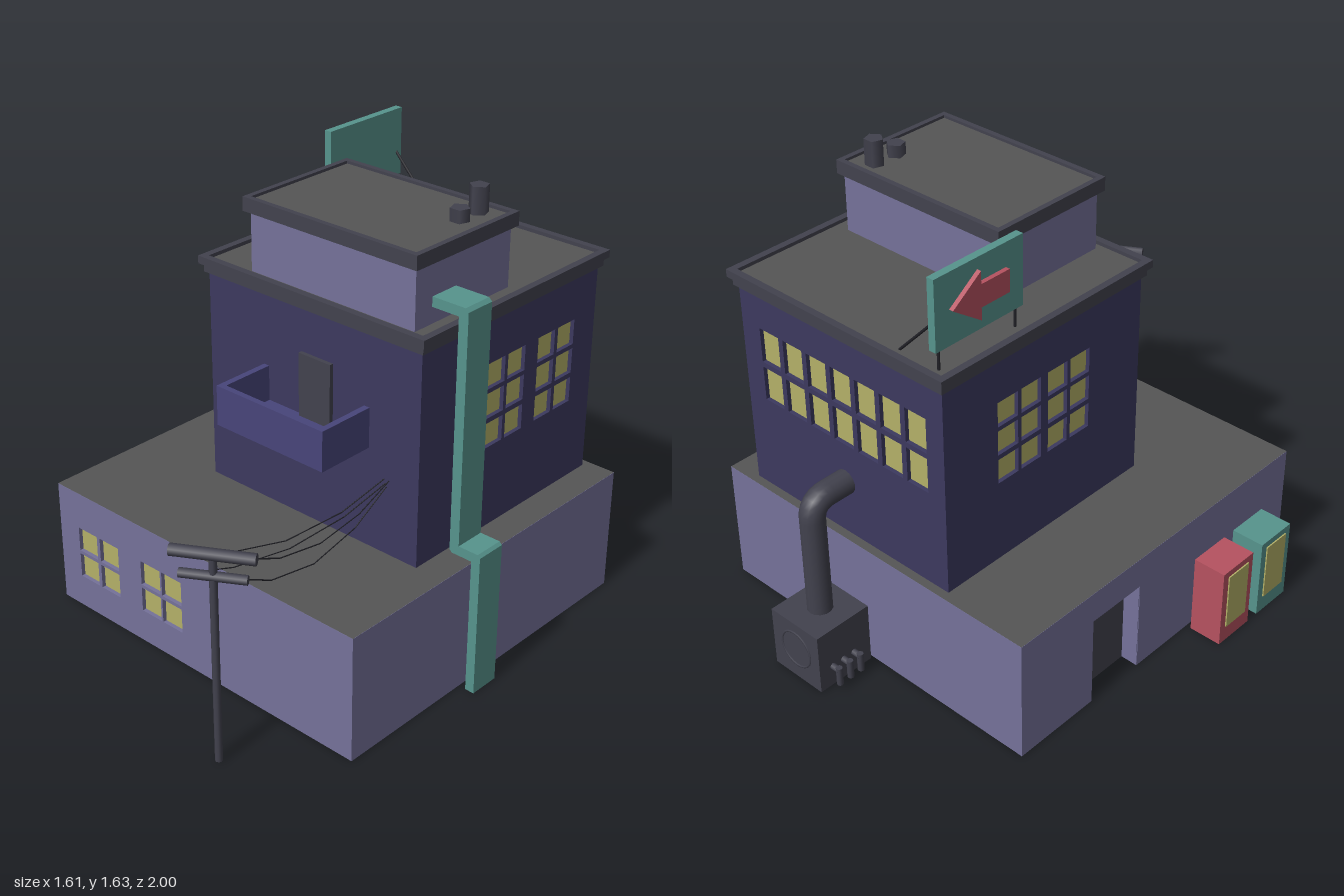
import * as THREE from 'three';

const mat = (color, opts = {}) => new THREE.MeshStandardMaterial({ color, side: THREE.DoubleSide, ...opts });
const M = {
  pale: mat(0x75729a), navy: mat(0x3c395f), balcony: mat(0x48457a), dark: mat(0x42424e),
  roof: mat(0x565656), teal: mat(0x57948d), red: mat(0xb65260), glass: mat(0xb4b168), wire: mat(0x222228),
};
const V = (x, y, z) => new THREE.Vector3(x, y, z);

export function createModel() {
  const root = new THREE.Group();
  const add = (name, geo, material, parent = root) => {
    const m = new THREE.Mesh(geo, material);
    m.name = name;
    parent.add(m);
    return m;
  };
  // box given by its min and max on each axis
  const box = (name, x0, x1, y0, y1, z0, z1, material) => {
    const m = add(name, new THREE.BoxGeometry(x1 - x0, y1 - y0, z1 - z0), material);
    m.position.set((x0 + x1) / 2, (y0 + y1) / 2, (z0 + z1) / 2);
    return m;
  };
  // round bar between two points
  const bar = (name, a, b, r, material, sides = 8) => {
    const m = add(name, new THREE.CylinderGeometry(r, r, a.distanceTo(b), sides), material);
    m.position.copy(a).add(b).multiplyScalar(0.5);
    m.quaternion.setFromUnitVectors(V(0, 1, 0), b.clone().sub(a).normalize());
    return m;
  };
  const poly = (pts) => new THREE.Shape(pts.map(([x, y]) => new THREE.Vector2(x, y)));
  const rect = (x0, x1, y0, y1) => [[x0, y0], [x1, y0], [x1, y1], [x0, y1]];
  const extrude = (shape, depth) => new THREE.ExtrudeGeometry(shape, { depth, bevelEnabled: false });
  // flat roof sheet
  const roof = (name, x0, x1, z0, z1, y) => {
    const g = new THREE.PlaneGeometry(x1 - x0, z1 - z0).rotateX(-Math.PI / 2);
    add(name, g, M.roof).position.set((x0 + x1) / 2, y, (z0 + z1) / 2);
  };
  // rectangular ring around a roof
  const rim = (name, x0, x1, z0, z1, t, y, h) => {
    const s = poly(rect(x0, x1, -z1, -z0));
    s.holes.push(poly(rect(x0 + t, x1 - t, -z1 + t, -z0 - t)));
    add(name, extrude(s, h).rotateX(-Math.PI / 2), M.dark).position.y = y;
  };

  // wall with recessed panes; u runs along the wall from its middle, v is height
  const T = 0.016;
  const wall = (name, width, y0, y1, panes, material, notch) => {
    const g = new THREE.Group();
    g.name = name;
    const w = width / 2;
    const outline = [[-w, y0]];
    if (notch) outline.push([notch[0], y0], [notch[0], notch[2]], [notch[1], notch[2]], [notch[1], y0]);
    outline.push([w, y0], [w, y1], [-w, y1]);
    const s = poly(outline);
    for (const p of panes) {
      s.holes.push(poly(rect(...p)));
      const pane = add('windowPane', new THREE.PlaneGeometry(p[1] - p[0], p[3] - p[2]), M.glass, g);
      pane.position.set((p[0] + p[1]) / 2, (p[2] + p[3]) / 2, 0.001);
    }
    add('wallPanel', extrude(s, T), material, g);
    root.add(g);
    return g;
  };
  // four walls around a footprint: front, right (+x), back, left (-x)
  const storey = (name, x0, x1, z0, z1, y0, y1, material, panes, leftNotch) => {
    const cx = (x0 + x1) / 2, cz = (z0 + z1) / 2, w = x1 - x0, d = z1 - z0;
    const sides = [[0, w, d], [1, d, w], [2, w, d], [3, d, w]];
    sides.forEach(([k, len, across]) => {
      const g = wall(name + 'Wall', len, y0, y1, panes[k] || [], material, k === 3 ? leftNotch : null);
      const a = (k * Math.PI) / 2, r = across / 2 - T;
      g.rotation.y = a;
      g.position.set(cx + Math.sin(a) * r, 0, cz + Math.cos(a) * r);
    });
  };
  const grid = (us, vs, w, h) => us.flatMap((u) => vs.map((v) => [u, u + w, v, v + h]));

  // ground floor, open below, with a door alcove on its left wall
  const G = { x0: -0.655, x1: 0.737, z0: -0.76, z1: 0.635 };
  const gx = (G.x0 + G.x1) / 2, gz = (G.z0 + G.z1) / 2;
  const door = { z0: -0.417, z1: -0.18, h: 0.35 };
  storey('groundFloor', G.x0, G.x1, G.z0, G.z1, 0, 0.467, M.pale,
    [grid([-0.557, -0.446, -0.234, -0.13].map((x) => x - gx), [0.125, 0.232], 0.096, 0.094)],
    [door.z0 - gz, door.z1 - gz, door.h]);
  roof('groundRoof', G.x0, G.x1, G.z0, G.z1, 0.468);
  const ax = G.x0 + 0.07;
  for (const z of [door.z0, door.z1]) box('alcoveSide', G.x0 + 0.002, ax, 0, door.h, z - 0.002, z + 0.002, M.pale);
  box('alcoveTop', G.x0 + 0.002, ax, door.h - 0.002, door.h + 0.002, door.z0, door.z1, M.pale);
  box('groundDoor', ax - 0.004, ax, 0, door.h, door.z0, door.z1, M.dark);

  // second floor
  const S = { x0: -0.308, x1: 0.623, z0: -0.728, z1: 0.2 };
  const sz = (S.z0 + S.z1) / 2, sx = (S.x0 + S.x1) / 2;
  const rows = [0.772, 0.882, 0.99];
  storey('upperFloor', S.x0, S.x1, S.z0, S.z1, 0.467, 1.245, M.navy, [
    [],
    grid([-0.228, -0.336, -0.5, -0.61].map((z) => sz - z - 0.093), rows, 0.093, 0.092),
    grid([0, 1, 2, 3, 4, 5, 6].map((i) => sx - 0.537 + i * 0.113), [0.83, 0.98], 0.092, 0.13),
    grid([-0.49, -0.382, -0.256, -0.148].map((z) => z - sz), rows, 0.093, 0.092),
  ]);
  rim('lowerCornice', S.x0 - 0.013, S.x1 + 0.013, S.z0 - 0.013, S.z1 + 0.013, 0.03, 1.242, 0.03);
  rim('upperCornice', S.x0 - 0.026, S.x1 + 0.026, S.z0 - 0.026, S.z1 + 0.026, 0.026, 1.272, 0.028);
  roof('upperRoof', S.x0 - 0.01, S.x1 + 0.01, S.z0 - 0.01, S.z1 + 0.01, 1.287);

  // rooftop room with chimneys
  storey('roofRoom', -0.13, 0.57, -0.292, 0.176, 1.287, 1.505, M.pale, []);
  rim('roomCornice', -0.147, 0.588, -0.308, 0.196, 0.02, 1.5, 0.05);
  roof('roomRoof', -0.135, 0.576, -0.296, 0.184, 1.54);
  bar('tallChimney', V(0.485, 1.53, -0.23), V(0.485, 1.635, -0.23), 0.034, M.dark, 5);
  bar('shortChimney', V(0.485, 1.53, -0.135), V(0.485, 1.585, -0.135), 0.034, M.dark, 5).rotation.y = Math.PI;

  // balcony: U-shaped parapet, floor and door
  const u = poly([[-0.056, -0.2], [-0.056, -0.422], [0.413, -0.422], [0.413, -0.2],
    [0.39, -0.2], [0.39, -0.4], [-0.033, -0.4], [-0.033, -0.2]]);
  add('balconyParapet', extrude(u, 0.145).rotateX(-Math.PI / 2), M.balcony).position.y = 0.835;
  box('balconyFloor', -0.035, 0.392, 0.836, 0.852, 0.198, 0.402, M.balcony);
  box('balconyDoor', 0.117, 0.255, 0.85, 1.083, 0.19, 0.215, M.dark);

  // square duct stepping down the right side
  const duct = poly([[0.56, 1.38], [0.7, 1.38], [0.712, 1.368], [0.712, 0.54], [0.79, 0.54], [0.8, 0.53], [0.8, 0],
    [0.765, 0], [0.765, 0.505], [0.685, 0.505], [0.675, 0.515], [0.675, 1.345], [0.56, 1.345]]);
  add('sideDuct', extrude(duct, 0.115), M.teal).position.z = -0.02;

  // roof sign with arrow, posts and braces
  box('signBoard', -0.28, -0.252, 1.36, 1.61, -0.72, -0.342, M.teal);
  const arrow = poly([[-0.66, 1.485], [-0.54, 1.57], [-0.54, 1.525], [-0.417, 1.525],
    [-0.417, 1.445], [-0.54, 1.445], [-0.54, 1.4]]);
  const arrowMesh = add('signArrow', extrude(arrow, 0.018), M.red);
  arrowMesh.rotation.y = -Math.PI / 2;
  arrowMesh.position.x = -0.278;
  for (const z of [-0.364, -0.696]) {
    bar('signPost', V(-0.266, 1.285, z), V(-0.266, 1.45, z), 0.005, M.wire, 6);
    bar('signBrace', V(-0.255, 1.45, z), V(-0.1, 1.288, z), 0.005, M.wire, 6);
  }

  // vending machines, open below
  for (const [z0, material] of [[0.093, M.red], [0.31, M.teal]]) {
    const m = box('vendingMachine', -0.8, -0.675, 0, 0.31, z0, z0 + 0.165, material);
    const idx = Array.from(m.geometry.index.array);
    idx.splice(18, 6);
    m.geometry.setIndex(idx);
    box('vendingWindow', -0.805, -0.798, 0.065, 0.285, z0 + 0.028, z0 + 0.137, M.glass);
  }

  // ventilation unit behind the building with its fan, small pipes and big duct
  box('ventUnit', 0.042, 0.27, 0, 0.235, -0.998, -0.77, M.dark);
  add('fanRing', new THREE.TorusGeometry(0.07, 0.005, 6, 24), M.dark).position.set(0.156, 0.125, -0.997);
  for (const z of [-0.94, -0.892, -0.845]) {
    bar('smallPipe', V(0.045, 0.08, z), V(0.008, 0.08, z), 0.012, M.dark);
    bar('smallPipeDrop', V(0.01, 0.092, z), V(0.01, 0.02, z), 0.012, M.dark);
  }
  const path = new THREE.CurvePath();
  path.add(new THREE.LineCurve3(V(0.158, 0.23, -0.88), V(0.158, 0.61, -0.88)));
  path.add(new THREE.QuadraticBezierCurve3(V(0.158, 0.61, -0.88), V(0.158, 0.678, -0.88), V(0.158, 0.678, -0.81)));
  path.add(new THREE.LineCurve3(V(0.158, 0.678, -0.81), V(0.158, 0.678, -0.72)));
  add('ventDuct', new THREE.TubeGeometry(path, 32, 0.045, 14), M.dark);

  // utility pole with two crossbars and sagging wires
  bar('utilityPole', V(0.425, 0, 0.915), V(0.425, 0.76, 0.915), 0.013, M.dark);
  bar('topCrossbar', V(0.308, 0.767, 0.983), V(0.543, 0.767, 0.847), 0.02, M.dark);
  bar('lowerCrossbar', V(0.332, 0.69, 0.97), V(0.518, 0.69, 0.86), 0.016, M.dark);
  const wires = [
    [V(0.335, 0.765, 0.965), V(0.48, 0.745, 0.2), 0.1], [V(0.515, 0.765, 0.863), V(0.5, 0.745, 0.2), 0.09],
    [V(0.355, 0.69, 0.955), V(0.485, 0.73, 0.2), 0.08], [V(0.485, 0.69, 0.88), V(0.49, 0.72, 0.2), 0.12],
  ];
  for (const [a, b, sag] of wires) {
    const pts = [0, 0.22, 0.5, 0.78, 1].map((t) => a.clone().lerp(b, t).add(V(0, -4 * sag * t * (1 - t), 0)));
    for (let i = 1; i < pts.length; i++) bar('wire', pts[i - 1], pts[i], 0.0025, M.wire, 4);
  }
  return root;
}
